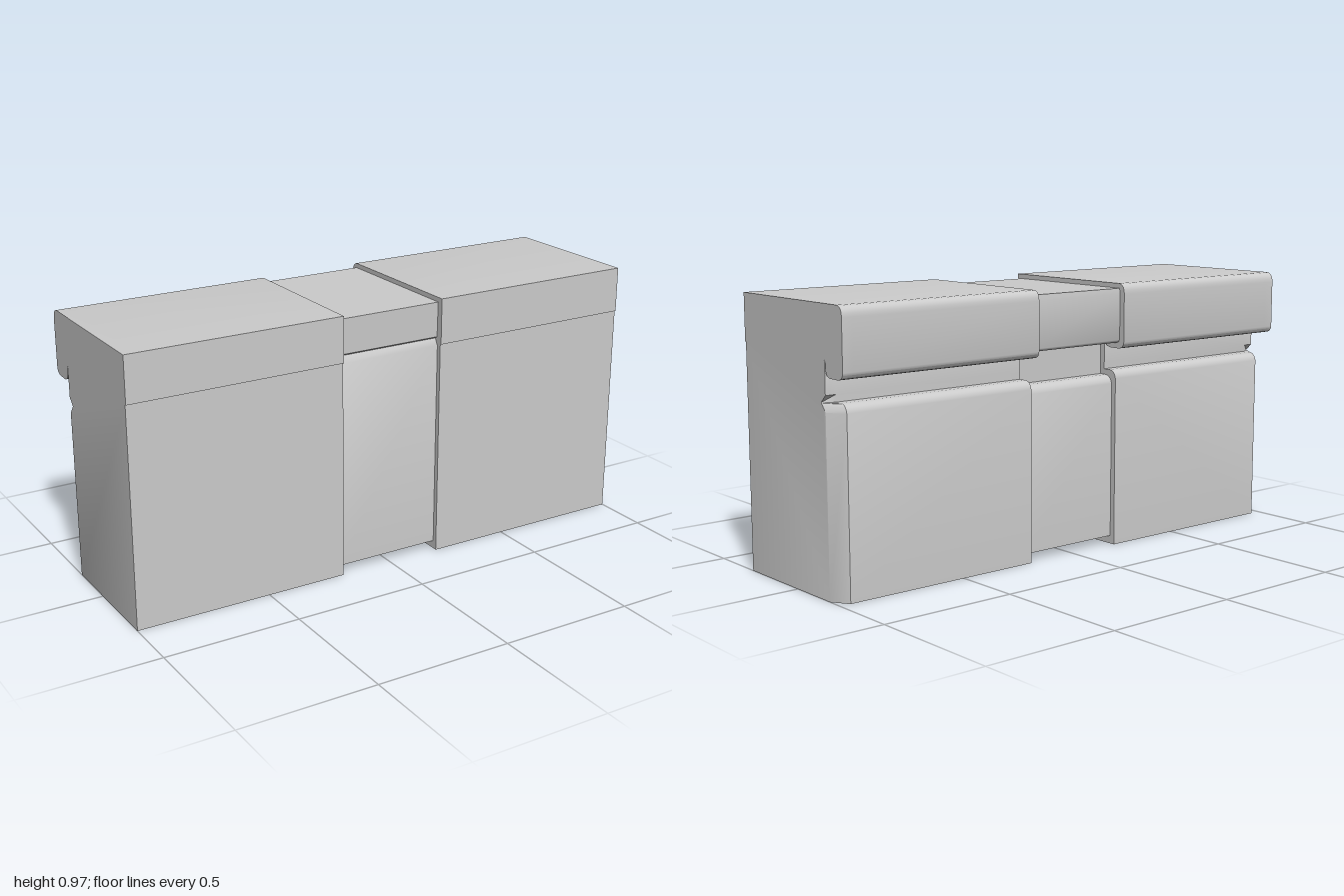
import * as THREE from 'three';
import { toCreasedNormals } from 'three/addons/utils/BufferGeometryUtils.js';

const material = new THREE.MeshStandardMaterial({ color: 0xcccccc });

// Extrude a side profile (horizontal axis pointing to the back) along +x.
function extrudeAlongX(shape, depth, steps, adjust) {
  const geometry = new THREE.ExtrudeGeometry(shape, { depth, steps, bevelEnabled: false, curveSegments: 5 });
  const p = geometry.attributes.position;
  if (adjust) for (let i = 0; i < p.count; i++) adjust(p, i);
  geometry.rotateY(Math.PI / 2);
  return toCreasedNormals(geometry, 0.6);
}

// Wide block: front step, hooked lip at the top and a rounded ledge at the back.
function blockProfile() {
  const s = new THREE.Shape();
  s.moveTo(-0.293, 0);
  s.lineTo(-0.293, 0.8);
  s.lineTo(-0.298, 0.8);
  s.lineTo(-0.298, 0.967);
  s.lineTo(0.265, 0.967);
  s.quadraticCurveTo(0.297, 0.967, 0.297, 0.93);
  s.lineTo(0.297, 0.757);
  s.quadraticCurveTo(0.295, 0.732, 0.265, 0.732);
  s.lineTo(0.23, 0.732);
  s.quadraticCurveTo(0.202, 0.733, 0.2, 0.755);
  s.lineTo(0.199, 0.78);
  s.lineTo(0.19, 0.793);
  s.lineTo(0.195, 0.785);
  s.lineTo(0.195, 0.675);
  s.lineTo(0.195, 0.65);
  s.lineTo(0.225, 0.65);
  s.quadraticCurveTo(0.25, 0.648, 0.255, 0.62);
  s.lineTo(0.255, 0);
  s.closePath();
  return s;
}

// Narrower band between the blocks, set in on every side.
function bandProfile() {
  const s = new THREE.Shape();
  s.moveTo(-0.275, 0.03);
  s.lineTo(-0.275, 0.79);
  s.lineTo(-0.262, 0.815);
  s.lineTo(-0.272, 0.822);
  s.lineTo(-0.275, 0.95);
  s.lineTo(0.272, 0.95);
  s.lineTo(0.275, 0.93);
  s.lineTo(0.275, 0.77);
  s.quadraticCurveTo(0.273, 0.752, 0.255, 0.752);
  s.lineTo(0.235, 0.752);
  s.quadraticCurveTo(0.22, 0.752, 0.218, 0.77);
  s.lineTo(0.215, 0.8);
  s.lineTo(0.175, 0.8);
  s.lineTo(0.175, 0.63);
  s.lineTo(0.205, 0.63);
  s.quadraticCurveTo(0.228, 0.628, 0.235, 0.6);
  s.lineTo(0.235, 0.03);
  s.closePath();
  return s;
}

// Bevel the outer back corner of the ledge, leaving a small notch above it.
function bevelOuterEnd(p, i) {
  const z = p.getZ(i), x = p.getX(i), y = p.getY(i);
  if (Math.abs(z - 0.4) < 0.01) p.setZ(i, 0.76);
  if (z > 0.79 && x > 0.19 && y < 0.66) {
    const t = THREE.MathUtils.clamp((y - 0.62) / 0.03, 0, 1);
    p.setX(i, 0.195 - 0.025 * t);
  }
}

export function createModel() {
  const model = new THREE.Group();
  model.name = 'hookedBlock';

  // Two mirrored blocks
  const blockGeometry = extrudeAlongX(blockProfile(), 0.8, 2, bevelOuterEnd);
  for (const side of [1, -1]) {
    const block = new THREE.Mesh(blockGeometry, material);
    block.name = side > 0 ? 'leftBlock' : 'rightBlock';
    block.position.x = 0.2 * side;
    block.scale.x = side;
    model.add(block);
  }

  // Recessed middle band
  const band = new THREE.Mesh(extrudeAlongX(bandProfile(), 0.4, 1), material);
  band.name = 'middleBand';
  band.position.x = -0.2;
  model.add(band);

  return model;
}
